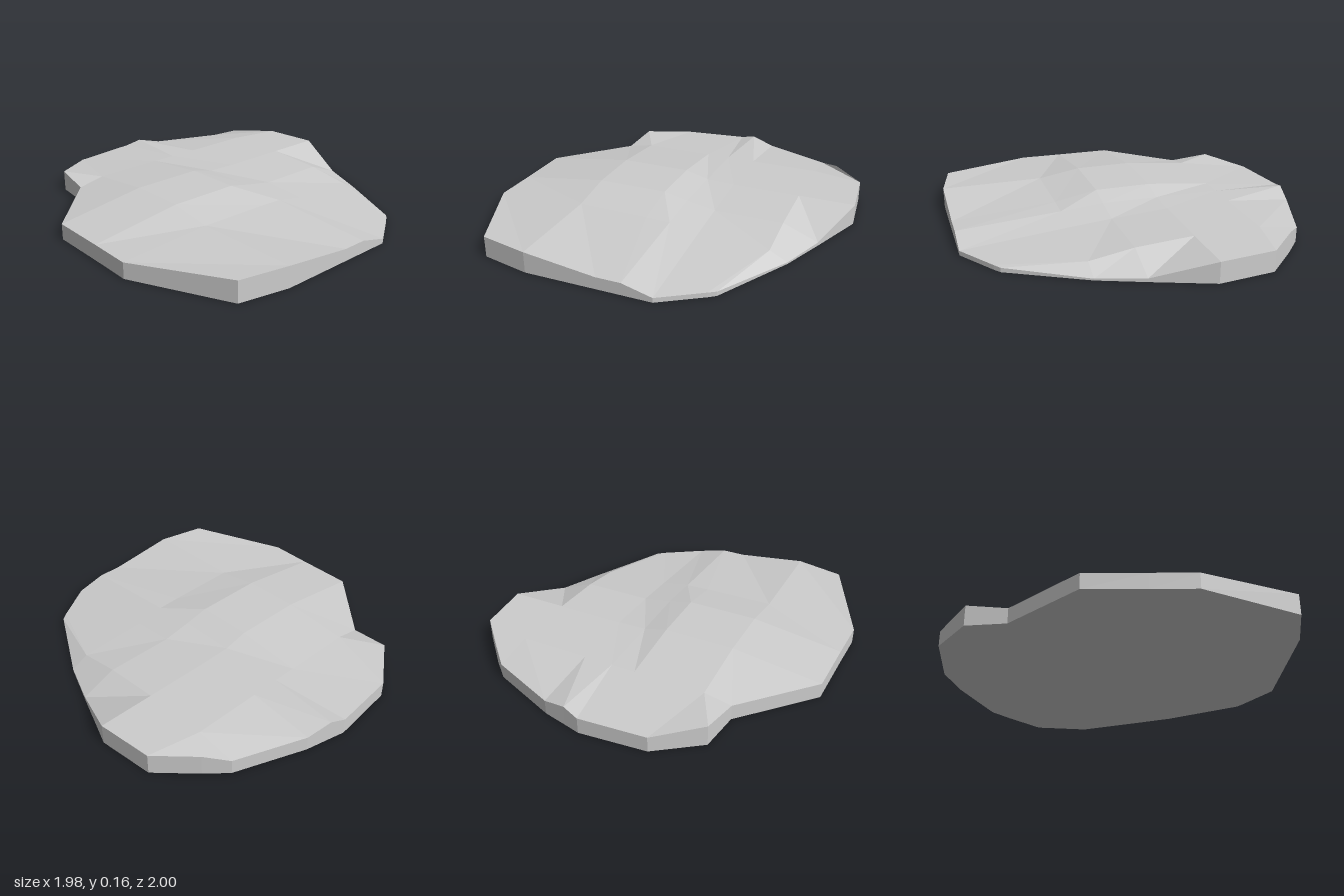
import * as THREE from 'three';

// Grid of [x, z, height]: rows run back to front, columns run from -x to +x
const ROWS = [
  [[-0.585, -0.79, 0.12], [-0.34, -0.965, 0.09], [0.04, -1, 0.095], [0.13, -0.978, 0.12], [0.27, -0.945, 0.085], [0.66, -0.79, 0.085], [0.77, -0.69, 0.12]],
  [[-0.615, -0.56, 0.09], [-0.46, -0.56, 0.12], [-0.05, -0.56, 0.12], [0.09, -0.56, 0.12], [0.26, -0.56, 0.12], [0.66, -0.56, 0.12], [0.955, -0.5, 0.12]],
  [[-0.975, -0.18, 0.09], [-0.46, -0.18, 0.16], [-0.05, -0.18, 0.16], [0.09, -0.18, 0.125], [0.26, -0.18, 0.12], [0.66, -0.18, 0.12], [0.987, -0.18, 0.12]],
  [[-0.982, 0.15, 0.09], [-0.46, 0.15, 0.16], [-0.05, 0.15, 0.16], [0.09, 0.15, 0.13], [0.26, 0.15, 0.1], [0.66, 0.15, 0.1], [0.86, 0.15, 0.02]],
  [[-0.99, 0.4, 0.09], [-0.46, 0.4, 0.12], [-0.05, 0.4, 0.115], [0.09, 0.4, 0.11], [0.26, 0.4, 0.08], [0.66, 0.4, 0.06], [0.76, 0.4, 0.01]],
  [[-0.74, 0.94, 0.12], [-0.46, 1, 0.12], [-0.05, 1, 0.07], [0.09, 1, 0.07], [0.26, 1, 0.027], [0.485, 0.855, 0.027], [0.525, 0.825, 0.025]],
];

function meshFrom(name, points, index, material) {
  const geometry = new THREE.BufferGeometry();
  geometry.setAttribute('position', new THREE.Float32BufferAttribute(points.flat(), 3));
  geometry.setIndex(index);
  const flat = geometry.toNonIndexed();
  flat.computeVertexNormals();
  const mesh = new THREE.Mesh(flat, material);
  mesh.name = name;
  return mesh;
}

export function createModel() {
  const group = new THREE.Group();
  group.name = 'rockSlab';
  const stone = new THREE.MeshStandardMaterial({ color: 0xcccccc, flatShading: true });
  stone.name = 'paleStone';

  const last = ROWS.length - 1;
  const cols = ROWS[0].length;

  // Faceted upper surface
  const topPoints = ROWS.flat().map(([x, z, y]) => [x, y, z]);
  const topIndex = [];
  for (let r = 0; r < last; r++) {
    for (let c = 0; c < cols - 1; c++) {
      const a = r * cols + c, b = a + cols;
      topIndex.push(a, b, b + 1, a, b + 1, a + 1);
    }
  }
  group.add(meshFrom('topSurface', topPoints, topIndex, stone));

  // Rim walked front, right, back, left
  const rim = [];
  for (let c = 0; c < cols - 1; c++) rim.push(ROWS[last][c]);
  for (let r = last; r > 0; r--) rim.push(ROWS[r][cols - 1]);
  for (let c = cols - 1; c > 0; c--) rim.push(ROWS[0][c]);
  for (let r = 0; r < last; r++) rim.push(ROWS[r][0]);

  // Upright side walls
  const n = rim.length;
  const wallPoints = [...rim.map(([x, z]) => [x, 0, z]), ...rim.map(([x, z, y]) => [x, y, z])];
  const wallIndex = [];
  for (let i = 0; i < n; i++) {
    const j = (i + 1) % n;
    wallIndex.push(i, j, j + n, i, j + n, i + n);
  }
  group.add(meshFrom('sideWall', wallPoints, wallIndex, stone));

  // Flat underside
  const outline = rim.map(([x, z]) => new THREE.Vector2(x, -z));
  const faces = THREE.ShapeUtils.triangulateShape(outline, []);
  const baseIndex = faces.flatMap(([a, b, c]) => [a, c, b]);
  group.add(meshFrom('underside', rim.map(([x, z]) => [x, 0, z]), baseIndex, stone));

  return group;
}
